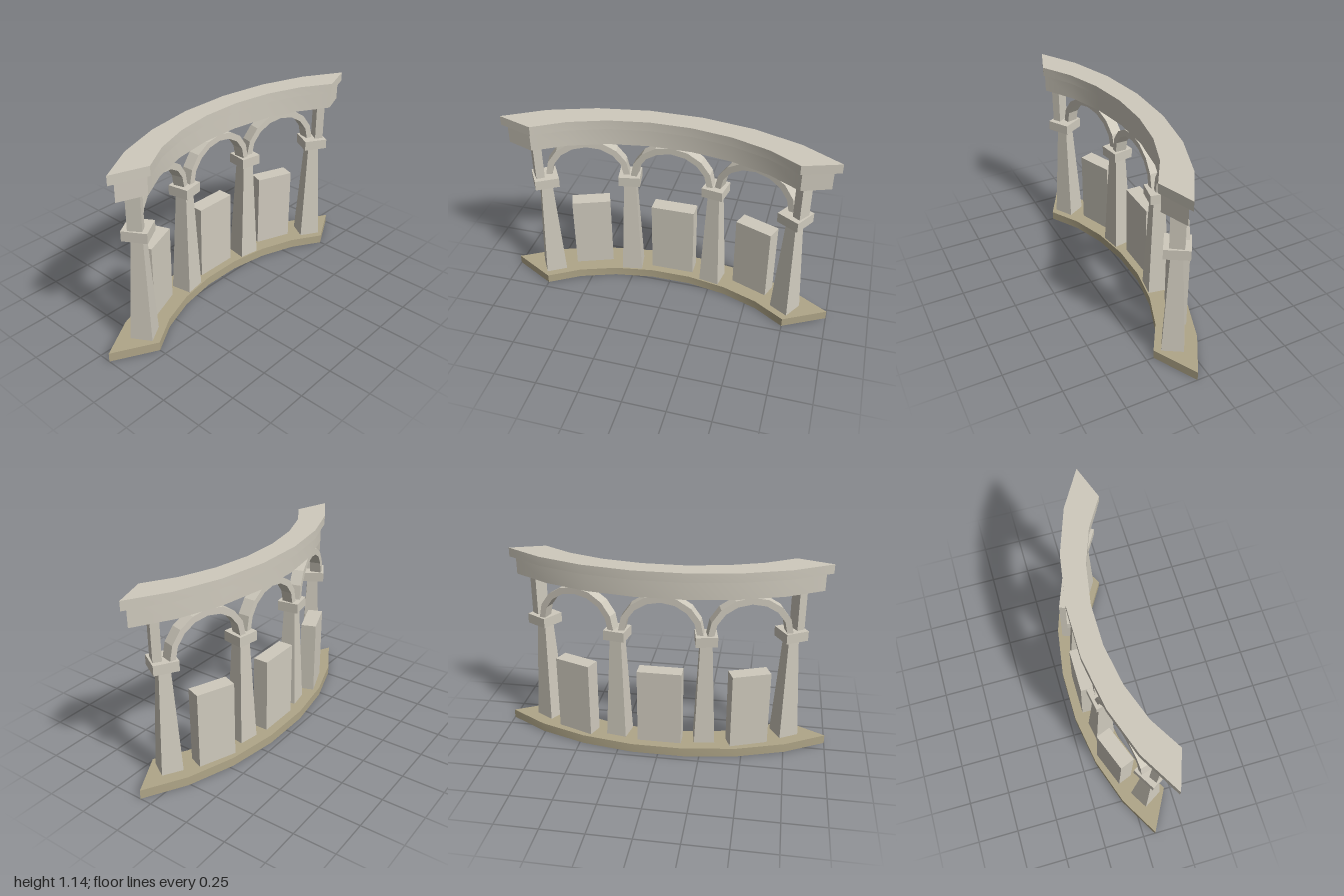
import * as THREE from 'three';
import { toCreasedNormals } from 'three/addons/utils/BufferGeometryUtils.js';

const stone = new THREE.MeshStandardMaterial({ color: 0xcfcabd, flatShading: true });
const smoothStone = new THREE.MeshStandardMaterial({ color: 0xcfcabd });
const earth = new THREE.MeshStandardMaterial({ color: 0xb0a688 });
const rad = THREE.MathUtils.degToRad;

function add(parent, name, geometry, material, x, y, z, angle = 0) {
  const mesh = new THREE.Mesh(geometry, material);
  mesh.name = name;
  mesh.position.set(x, y, z);
  mesh.rotation.y = -angle;
  parent.add(mesh);
  return mesh;
}

// One edge of a curved band: seven segments along an elliptic arc
function arcEdge(halfWidth, zMid, zEnd) {
  const c0 = Math.cos(rad(7)), c1 = Math.cos(rad(49));
  const points = [];
  for (let i = 0; i <= 7; i++) {
    const t = rad(-49 + 14 * i);
    const z = zMid + (zEnd - zMid) * (c0 - Math.cos(t)) / (c0 - c1);
    points.push(new THREE.Vector2(halfWidth * Math.sin(t) / Math.sin(rad(49)), -z));
  }
  return points;
}

// Curved slab between a back edge and a front edge
function bandGeometry(back, front, height) {
  const shape = new THREE.Shape([...arcEdge(...front), ...arcEdge(...back).reverse()]);
  const geometry = new THREE.ExtrudeGeometry(shape, { depth: height, bevelEnabled: false });
  geometry.rotateX(-Math.PI / 2);
  return toCreasedNormals(geometry, 0.5);
}

// Square shaft, wider at the foot
function shaftGeometry(bottom, top, height) {
  const geometry = new THREE.CylinderGeometry(top / Math.SQRT2, bottom / Math.SQRT2, height, 4);
  geometry.rotateY(Math.PI / 4);
  return geometry;
}

// Faceted half-ring
function archGeometry(depth) {
  const outer = [], inner = [];
  for (let i = 0; i <= 8; i++) {
    const t = Math.PI * i / 8;
    outer.push(new THREE.Vector2(0.25 * Math.cos(t), 0.232 * Math.sin(t)));
    inner.push(new THREE.Vector2(0.213 * Math.cos(t), 0.192 * Math.sin(t)));
  }
  const shape = new THREE.Shape([...outer, ...inner.reverse()]);
  const geometry = new THREE.ExtrudeGeometry(shape, { depth, bevelEnabled: false });
  geometry.translate(0, 0, -depth / 2);
  return geometry;
}

export function createModel() {
  const model = new THREE.Group();
  model.name = 'curvedColonnade';

  // Curved base, beam and top slab
  add(model, 'base', bandGeometry([1, -0.212, 0.073], [0.75, -0.016, 0.208], 0.055), earth, 0, 0, 0);
  add(model, 'beam', bandGeometry([0.92, -0.13, 0.135], [0.76, -0.028, 0.195], 0.107), smoothStone, 0, 0.983, 0);
  add(model, 'topSlab', bandGeometry([0.96, -0.147, 0.135], [0.75, -0.016, 0.208], 0.055), smoothStone, 0, 1.09, 0);

  // Columns with caps, mirrored on both sides
  const columns = [
    { name: 'inner', x: 0.262, z: -0.065, angle: rad(10), foot: 0.125, neck: 0.07, cap: 0.128 },
    { name: 'outer', x: 0.747, z: 0.084, angle: rad(31), foot: 0.127, neck: 0.065, cap: 0.143 },
  ];
  for (const side of [1, -1]) {
    const label = side > 0 ? 'Left' : 'Right';
    for (const c of columns) {
      const column = new THREE.Group();
      column.name = c.name + 'Column' + label;
      column.position.set(side * c.x, 0, c.z);
      column.rotation.y = -side * c.angle;
      add(column, 'shaft', shaftGeometry(c.foot, c.neck, 0.66), stone, 0, 0.38, 0);
      add(column, 'cap', new THREE.BoxGeometry(c.cap, 0.06, c.cap), stone, 0, 0.727, 0);
      model.add(column);
    }
    // Post carrying the end of the beam
    add(model, 'endPost' + label, new THREE.BoxGeometry(0.05, 0.25, 0.08), stone,
      side * 0.777, 0.87, 0.102, side * rad(35));
  }

  // Three arches and the upright blocks standing below them
  const arch = archGeometry(0.07);
  for (const side of [-1, 0, 1]) {
    const label = ['Right', 'Middle', 'Left'][side + 1];
    add(model, 'arch' + label, arch, stone,
      side * 0.508, 0.753, side ? -0.012 : -0.066, side * rad(15));
    add(model, 'block' + label, new THREE.BoxGeometry(side ? 0.235 : 0.266, 0.49, 0.093), stone,
      side * 0.523, 0.277, side ? -0.057 : -0.11, side * rad(21));
  }
  return model;
}
